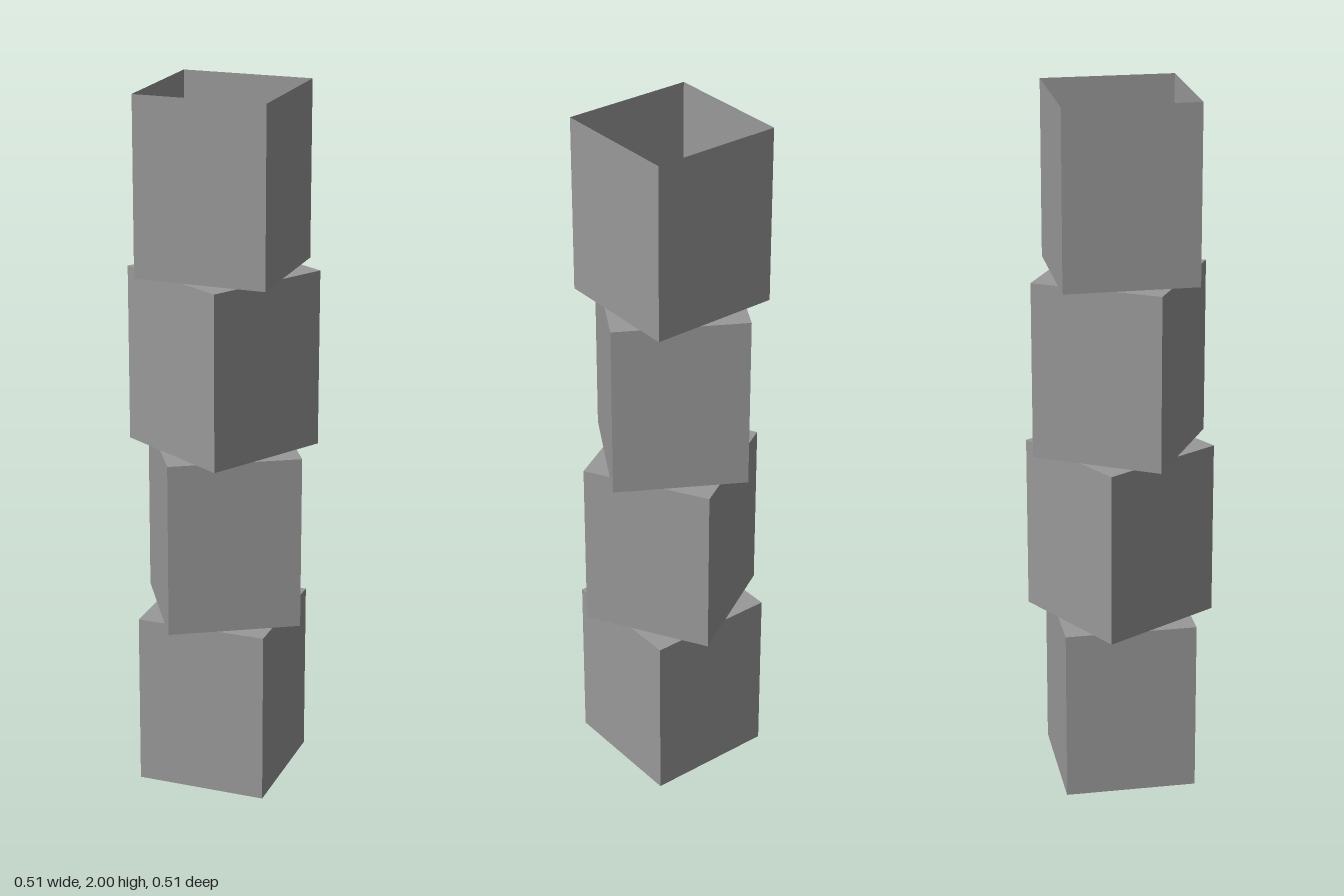
import * as THREE from 'three';

const SIDE = 0.374;    // width of each square block
const HEIGHT = 0.5;    // height of each block
const TWIST = Math.PI / 6;

export function createModel() {
  const model = new THREE.Group();
  model.name = 'twistedTower';

  const grey = new THREE.MeshStandardMaterial({ color: 0x999999, side: THREE.DoubleSide, flatShading: true });
  grey.name = 'grey';

  // four-sided open tube, flat sides facing the axes
  const wallGeometry = new THREE.CylinderGeometry(
    SIDE / Math.SQRT2, SIDE / Math.SQRT2, HEIGHT, 4, 1, true, Math.PI / 4);
  const capGeometry = new THREE.PlaneGeometry(SIDE, SIDE);

  const addMesh = (parent, name, geometry, y, tilt = 0) => {
    const mesh = new THREE.Mesh(geometry, grey);
    mesh.name = name;
    mesh.position.y = y;
    mesh.rotation.x = tilt;
    parent.add(mesh);
  };

  // stacked blocks, each turned 30 degrees; the outer ends stay open
  const names = ['bottomBlock', 'lowerMiddleBlock', 'upperMiddleBlock', 'topBlock'];
  names.forEach((name, i) => {
    const block = new THREE.Group();
    block.name = name;
    block.position.y = i * HEIGHT;
    block.rotation.y = i * TWIST;
    addMesh(block, 'walls', wallGeometry, HEIGHT / 2);
    if (i > 0) addMesh(block, 'floor', capGeometry, 0, Math.PI / 2);
    if (i < names.length - 1) addMesh(block, 'roof', capGeometry, HEIGHT, -Math.PI / 2);
    model.add(block);
  });

  return model;
}
